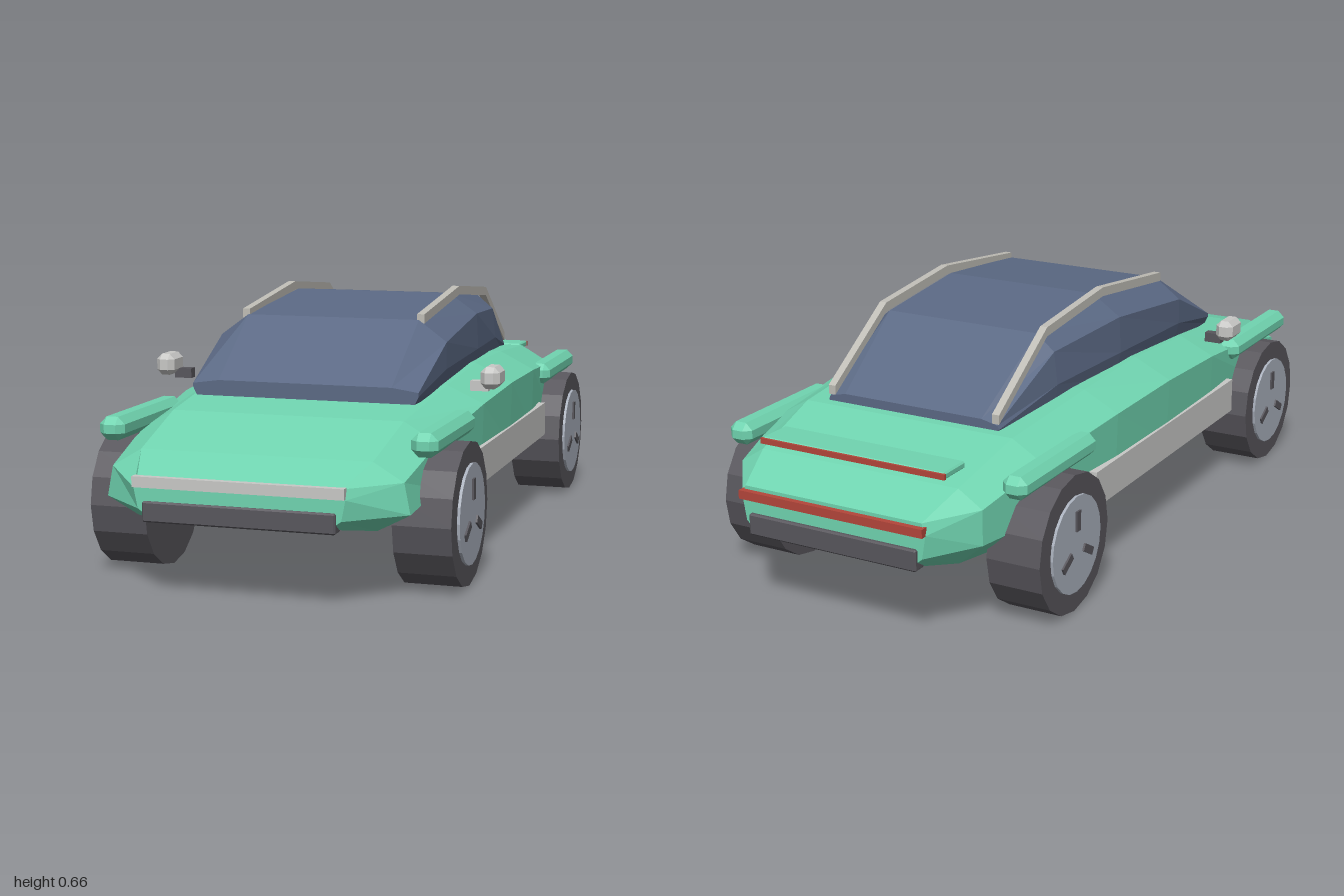
import * as THREE from 'three';
import { ConvexGeometry } from 'three/addons/geometries/ConvexGeometry.js';

const mat = (name, color) => {
  const m = new THREE.MeshStandardMaterial({ color, flatShading: true });
  m.name = name;
  return m;
};

// Skin cross-sections ordered front to back: [z, [x, y] half-profile from top to bottom]
function loft(sections) {
  const pos = [], idx = [], n = sections[0][1].length * 2;
  for (const [z, half] of sections) {
    for (const [x, y] of half) pos.push(x, y, z);
    for (const [x, y] of [...half].reverse()) pos.push(-x, y, z);
  }
  const last = (sections.length - 1) * n;
  for (let s = 0; s < last; s += n) {
    for (let j = 0; j < n; j++) {
      const a = s + j, b = s + (j + 1) % n;
      idx.push(a, b, b + n, a, b + n, a + n);
    }
  }
  for (let j = 1; j < n - 1; j++) idx.push(0, j + 1, j, last, last + j, last + j + 1);
  const g = new THREE.BufferGeometry();
  g.setAttribute('position', new THREE.Float32BufferAttribute(pos, 3));
  g.setIndex(idx);
  const flat = g.toNonIndexed();
  flat.computeVertexNormals();
  return flat;
}

// Box with every edge and corner cut by c
function chamferBox(w, h, d, c) {
  const pts = [], a = w / 2, b = h / 2, e = d / 2;
  for (const x of [-1, 1]) for (const y of [-1, 1]) for (const z of [-1, 1]) {
    pts.push(
      new THREE.Vector3(x * a, y * (b - c), z * (e - c)),
      new THREE.Vector3(x * (a - c), y * b, z * (e - c)),
      new THREE.Vector3(x * (a - c), y * (b - c), z * e));
  }
  return new ConvexGeometry(pts);
}

export function createModel() {
  const car = new THREE.Group();
  car.name = 'car';
  const green = mat('green paint', 0x70d4b0);
  const glass = mat('blue glass', 0x5b6984);
  const rubber = mat('dark rubber', 0x58565c);
  const rim = mat('rim metal', 0xa9b0bc);
  const silver = mat('light trim', 0xc8c8c6);
  const rail = mat('rail trim', 0xbfbdb6);
  const red = mat('red lamp', 0xb4463a);

  const add = (name, geo, material, x = 0, y = 0, z = 0, parent = car) => {
    const m = new THREE.Mesh(geo, material);
    m.name = name;
    m.position.set(x, y, z);
    parent.add(m);
    return m;
  };
  const box = (w, h, d) => new THREE.BoxGeometry(w, h, d);

  // Body shell: top edge, shoulder, waist, sill
  add('body', loft([
    [0.985, [[0.25, 0.295], [0.26, 0.27], [0.25, 0.22], [0.22, 0.2]]],
    [0.87, [[0.29, 0.34], [0.365, 0.295], [0.38, 0.22], [0.3, 0.178]]],
    [0.65, [[0.3, 0.4], [0.385, 0.35], [0.39, 0.24], [0.31, 0.165]]],
    [0.3, [[0.315, 0.44], [0.412, 0.395], [0.408, 0.24], [0.315, 0.157]]],
    [0, [[0.315, 0.46], [0.418, 0.41], [0.412, 0.24], [0.315, 0.155]]],
    [-0.3, [[0.315, 0.455], [0.412, 0.405], [0.408, 0.24], [0.315, 0.157]]],
    [-0.65, [[0.3, 0.43], [0.385, 0.38], [0.385, 0.24], [0.31, 0.165]]],
    [-0.87, [[0.28, 0.372], [0.345, 0.33], [0.345, 0.24], [0.28, 0.183]]],
    [-0.985, [[0.25, 0.32], [0.26, 0.29], [0.25, 0.23], [0.22, 0.205]]],
  ]), green);

  // Glass canopy: roof edge, shoulder, belt, base
  add('canopy', loft([
    [0.52, [[0.23, 0.46], [0.3, 0.45], [0.3, 0.44], [0.29, 0.42]]],
    [0.29, [[0.235, 0.605], [0.31, 0.55], [0.31, 0.48], [0.295, 0.42]]],
    [-0.07, [[0.22, 0.642], [0.3, 0.587], [0.305, 0.49], [0.29, 0.42]]],
    [-0.38, [[0.22, 0.612], [0.27, 0.57], [0.28, 0.485], [0.27, 0.42]]],
    [-0.625, [[0.2, 0.455], [0.245, 0.445], [0.25, 0.435], [0.24, 0.42]]],
  ]), glass);

  // Nose and tail trim
  add('frontLightBar', box(0.52, 0.026, 0.02), silver, 0, 0.285, 0.986);
  add('frontGrille', chamferBox(0.475, 0.05, 0.04, 0.004), rubber, 0, 0.214, 0.972);
  add('rearLightBar', box(0.52, 0.022, 0.02), red, 0, 0.3, -0.99);
  add('rearGrille', chamferBox(0.475, 0.055, 0.04, 0.004), rubber, 0, 0.225, -0.975);

  // Rear spoiler with a lamp along its trailing edge
  add('spoiler', chamferBox(0.52, 0.018, 0.095, 0.004), green, 0, 0.406, -0.85);
  add('spoilerLamp', box(0.525, 0.014, 0.008), red, 0, 0.406, -0.898);

  const railPath = [[0.29, 0.608], [-0.07, 0.65], [-0.38, 0.62], [-0.625, 0.46]];
  for (const side of [-1, 1]) {
    // Roof rail: one ribbon-shaped extrusion following the roof
    const shape = new THREE.Shape([
      ...railPath.map(([z, y]) => new THREE.Vector2(-z, y + 0.012)),
      ...railPath.map(([z, y]) => new THREE.Vector2(-z, y - 0.012)).reverse(),
    ]);
    const railGeo = new THREE.ExtrudeGeometry(shape, { depth: 0.02, bevelEnabled: false });
    railGeo.rotateY(Math.PI / 2).translate(-0.01, 0, 0);
    add('roofRail', railGeo, rail, side * 0.24, 0, 0);

    add('sillPanel', box(0.03, 0.095, 0.865), silver, side * 0.405, 0.243, 0);

    // Door mirror
    add('mirror', chamferBox(0.05, 0.056, 0.085, 0.014), silver, side * 0.443, 0.472, 0.335);
    add('mirrorStem', box(0.047, 0.026, 0.025), side < 0 ? rubber : silver, side * 0.407, 0.446, 0.32);

    for (const end of [-1, 1]) {
      add('fender', chamferBox(0.066, 0.058, 0.385, 0.018), green, side * 0.395, 0.373, end * 0.63);

      // Wheel, built with its axle along +x and turned to face outward
      const wheel = new THREE.Group();
      wheel.name = 'wheel';
      wheel.position.set(side * 0.387, 0.178, end * 0.625);
      if (side < 0) wheel.rotation.y = Math.PI;
      car.add(wheel);
      const disc = (r, w, n) => new THREE.CylinderGeometry(r, r, w, n).rotateZ(-Math.PI / 2);
      add('tyre', disc(0.178, 0.144, 16), rubber, 0, 0, 0, wheel);
      add('rim', disc(0.125, 0.02, 20), rim, 0.069, 0, 0, wheel);
      for (let k = 0; k < 3; k++) {
        const a = k * Math.PI * 2 / 3;
        const slot = add('rimSlot', box(0.008, 0.052, 0.02), rubber,
          0.08, Math.cos(a) * 0.062, Math.sin(a) * 0.062, wheel);
        slot.rotation.x = a;
      }
    }
  }
  return car;
}
